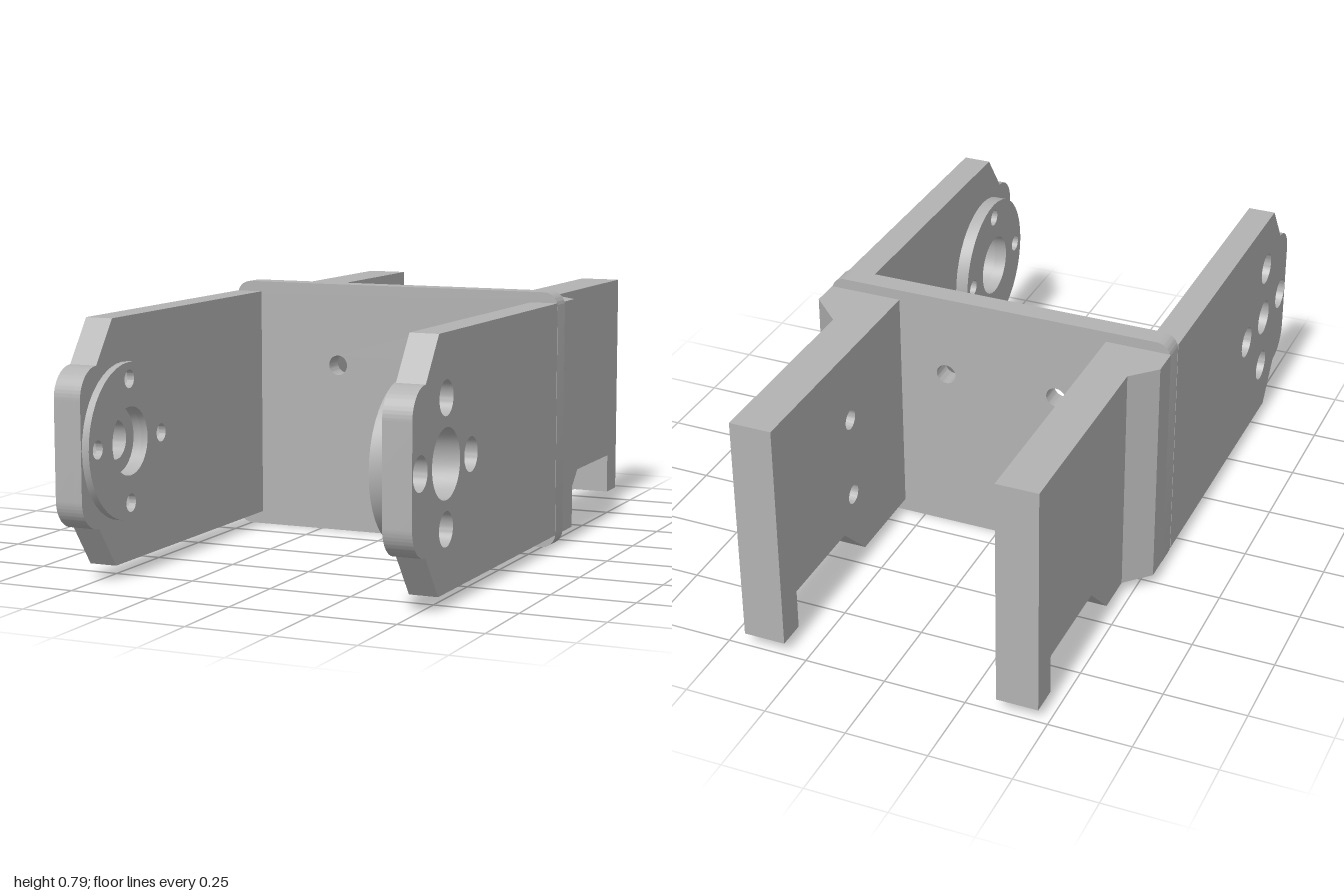
import * as THREE from 'three';
import { toCreasedNormals } from 'three/addons/utils/BufferGeometryUtils.js';

const metal = new THREE.MeshStandardMaterial({ color: 0xb2b2b2 });
metal.name = 'grey metal';

const PIVOT = { z: 0.766, y: 0.397 };

function circle(u, v, r) {
  return new THREE.Path().absarc(u, v, r, 0, Math.PI * 2, true);
}

function extrude(shape, depth) {
  return new THREE.ExtrudeGeometry(shape, { depth, bevelEnabled: false, curveSegments: 20 });
}

function part(name, geometry) {
  const mesh = new THREE.Mesh(toCreasedNormals(geometry, 0.6), metal);
  mesh.name = name;
  return mesh;
}

// Slab between x0 and x1 whose side profile is drawn with u = -z, v = y
function sideSlab(name, shape, x0, x1) {
  const a = Math.min(x0, x1);
  const g = extrude(shape, Math.max(x0, x1) - a);
  g.rotateY(Math.PI / 2);
  g.translate(a, 0, 0);
  return part(name, g);
}

// Centre bore plus four screw holes around the pivot
function pivotHoles(shape, bore, screw) {
  const { z, y } = PIVOT;
  shape.holes.push(circle(-z, y, bore));
  for (const [dz, dy] of [[0.18, 0], [-0.18, 0], [0, 0.18], [0, -0.18]]) {
    shape.holes.push(circle(-(z + dz), y + dy, screw));
  }
  return shape;
}

function frontArmShape(bore) {
  const s = new THREE.Shape();
  s.moveTo(0.115, 0.04);
  s.lineTo(0.115, 0.755);
  s.lineTo(-0.82, 0.755);
  s.lineTo(-0.91, 0.63);
  s.absarc(-0.91, 0.54, 0.09, Math.PI / 2, Math.PI, false);
  s.absarc(-0.91, 0.254, 0.09, Math.PI, Math.PI * 1.5, false);
  s.lineTo(-0.82, 0.04);
  s.closePath();
  return pivotHoles(s, bore, 0.05);
}

function discShape() {
  const s = new THREE.Shape();
  s.absarc(-PIVOT.z, PIVOT.y, 0.229, 0, Math.PI * 2, false);
  return pivotHoles(s, 0.1, 0.027);
}

// Rear arm outline with the notch and the hooked tip
function rearArmShape(withHoles) {
  const s = new THREE.Shape([
    [0.18, 0.04], [0.47, 0.04], [0.6, 0.165], [0.91, 0.165],
    [0.91, 0.04], [1, 0.04], [1, 0.755], [0.18, 0.755],
  ].map(([u, v]) => new THREE.Vector2(u, v)));
  if (withHoles) for (const y of [0.53, 0.27]) s.holes.push(circle(0.53, y, 0.031));
  return s;
}

function rearArm(name, inner, outer, edge) {
  const group = new THREE.Group();
  group.name = name;
  const mid = (inner + outer) / 2;
  group.add(sideSlab('rearArmInnerHalf', rearArmShape(true), inner, mid));
  group.add(sideSlab('rearArmOuterHalf', rearArmShape(false), mid, outer));
  // Sloped shoulder widening the arm towards the cross plate
  const slope = 0.27 + Math.abs(edge - outer);
  const plan = new THREE.Shape([
    [outer, 0.18], [edge, 0.18], [edge, 0.27], [outer, slope],
  ].map(([x, v]) => new THREE.Vector2(x, v)));
  const g = extrude(plan, 0.715);
  g.rotateX(-Math.PI / 2);
  g.translate(0, 0.04, 0);
  group.add(part('rearShoulder', g));
  return group;
}

function crossPlate() {
  const w = 0.544, h = 0.787, r = 0.045, q = Math.PI / 2;
  const s = new THREE.Shape();
  s.absarc(w - r, r, r, -q, 0, false);
  s.absarc(w - r, h - r, r, 0, q, false);
  s.absarc(-w + r, h - r, r, q, 2 * q, false);
  s.absarc(-w + r, r, r, 2 * q, 3 * q, false);
  s.closePath();
  for (const x of [-0.19, 0.168]) s.holes.push(circle(x, 0.53, 0.031));
  const g = extrude(s, 0.065);
  g.translate(0, 0, -0.18);
  return part('crossPlate', g);
}

export function createModel() {
  const model = new THREE.Group();
  model.name = 'bracket';
  model.add(crossPlate());

  // Left front arm: wide bore all the way through
  model.add(sideSlab('leftFrontArm', frontArmShape(0.1), 0.457, 0.543));
  model.add(sideSlab('leftPivotDisc', discShape(), 0.416, 0.457));

  // Right front arm: narrow bore outside, wide recess inside
  model.add(sideSlab('rightFrontArmOuter', frontArmShape(0.057), -0.545, -0.485));
  model.add(sideSlab('rightFrontArmInner', frontArmShape(0.1), -0.485, -0.46));
  model.add(sideSlab('rightPivotDisc', discShape(), -0.46, -0.438));

  // Rear arms
  model.add(rearArm('leftRearArm', 0.318, 0.446, 0.543));
  model.add(rearArm('rightRearArm', -0.345, -0.472, -0.545));
  return model;
}
